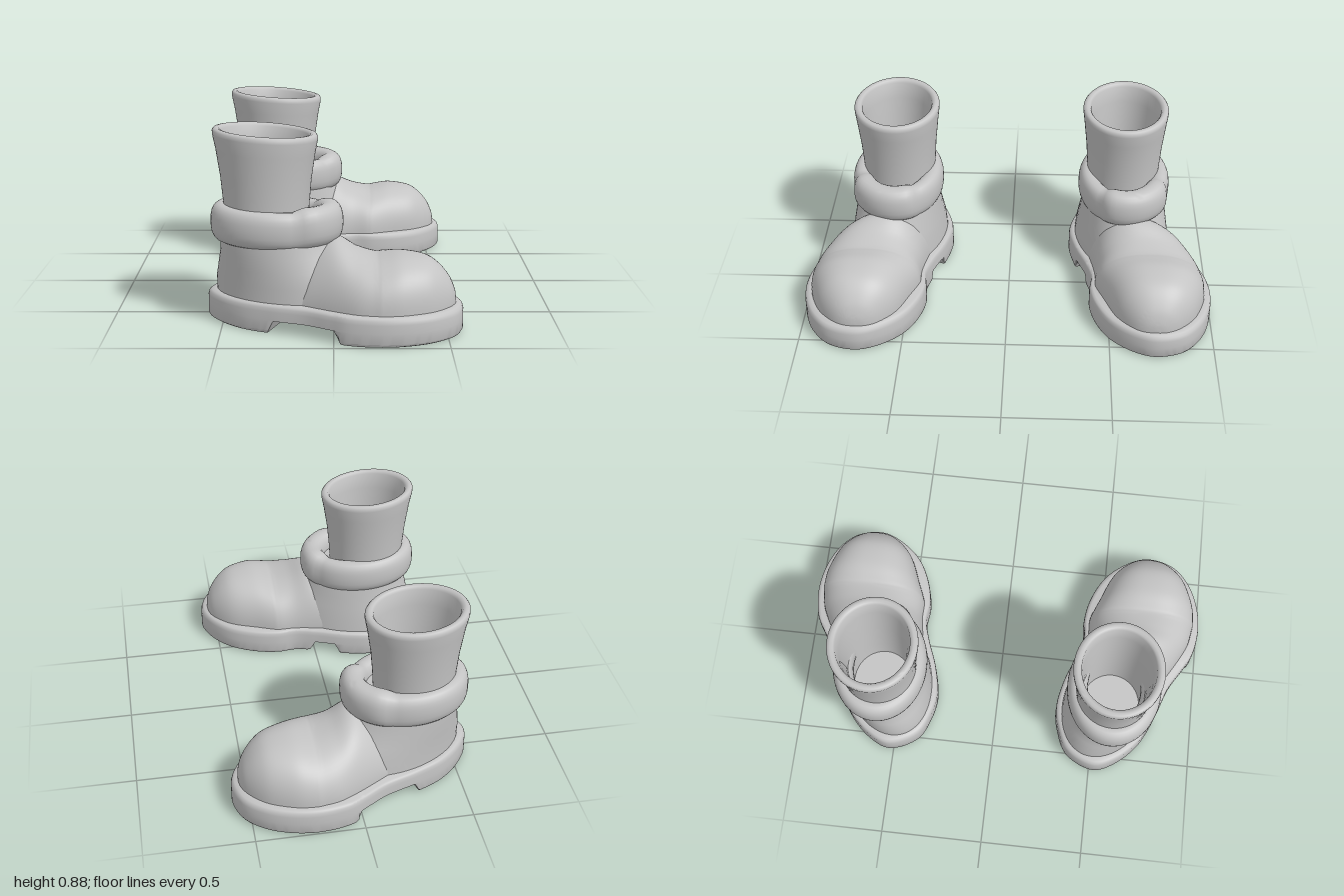
import * as THREE from 'three';
import { toCreasedNormals } from 'three/addons/utils/BufferGeometryUtils.js';

const SEG = 64;
const V = (x, y, z) => new THREE.Vector3(x, y, z);
const grey = new THREE.MeshStandardMaterial({ color: 0xc4c4c4 });
grey.name = 'softGrey';

// Skins closed rings of points; side = -1 mirrors the part across z
function loft(name, rings, side, { start = false, end = false, crease = 0.7 } = {}) {
  const n = rings[0].length, pos = [], idx = [];
  const add = p => pos.push(p.x, p.y, p.z * side) / 3 - 1;
  const tri = (a, b, c) => (side > 0 ? idx.push(a, b, c) : idx.push(a, c, b));
  rings.forEach(r => r.forEach(add));
  for (let j = 0; j < rings.length - 1; j++) {
    for (let i = 0; i < n; i++) {
      const a = j * n + i, b = j * n + (i + 1) % n;
      tri(a, a + n, b);
      tri(b, a + n, b + n);
    }
  }
  const cap = (j, up) => {
    const mid = V(0, 0, 0);
    rings[j].forEach(p => mid.addScaledVector(p, 1 / n));
    const c = add(mid);
    for (let i = 0; i < n; i++) {
      const a = j * n + i, b = j * n + (i + 1) % n;
      up ? tri(c, b, a) : tri(c, a, b);
    }
  };
  if (start) cap(0, false);
  if (end) cap(rings.length - 1, true);
  const g = new THREE.BufferGeometry();
  g.setAttribute('position', new THREE.Float32BufferAttribute(pos, 3));
  g.setIndex(idx);
  const mesh = new THREE.Mesh(toCreasedNormals(g, crease), grey);
  mesh.name = name;
  return mesh;
}

const ring = fn => Array.from({ length: SEG }, (_, i) => fn(i / SEG * Math.PI * 2));

// Footprint, running from the toe round the outer side to the heel and back
const footprint = new THREE.CatmullRomCurve3([
  [0.575, 0.72], [0.54, 0.85], [0.45, 0.935], [0.33, 0.985], [0.2, 1.0], [0.06, 0.975],
  [-0.02, 0.93], [-0.12, 0.87], [-0.28, 0.81], [-0.42, 0.74], [-0.53, 0.63], [-0.575, 0.52],
  [-0.51, 0.38], [-0.4, 0.325], [-0.29, 0.305], [-0.15, 0.33], [0, 0.385], [0.1, 0.412],
  [0.2, 0.405], [0.32, 0.43], [0.45, 0.5], [0.545, 0.62],
].map(([x, z]) => V(x, 0, z)), true);

// One layer of the sole, drawn in by a small inset
const soleRing = (y, inset) => footprint.getSpacedPoints(160).slice(0, 160).map(q => {
  const k = 1 - inset / 0.45;
  return V(q.x * k, y, 0.65 + (q.z - 0.65) * k);
});

// Trims a layer along the line x = edge(z), keeping the heel (-1) or toe (1) end
function trim(points, edge, keep) {
  const kept = points.map(p => (p.x - edge(p.z)) * keep >= 0);
  const ends = points.filter((_, i) => kept[i] &&
    !(kept.at(i - 1) && kept[(i + 1) % kept.length])).map(p => p.z);
  const lo = Math.min(...ends), hi = Math.max(...ends);
  return points.map((p, i) => {
    if (kept[i]) return p;
    const z = THREE.MathUtils.clamp(p.z, lo, hi);
    return V(edge(z), p.y, z);
  });
}

function sole(side) {
  const g = new THREE.Group();
  g.name = 'sole';
  g.add(loft('soleSlab', [[0.064, 0], [0.105, 0], [0.122, 0.004], [0.131, 0.012], [0.135, 0.028]]
    .map(([y, i]) => soleRing(y, i)), side, { start: true, end: true }));
  // The heel edge runs at a slant, the forefoot edge straight across
  const layers = [[0.005, 0.014], [0.011, 0.004], [0.02, 0], [0.066, 0]];
  const heel = layers.map(([y, i]) =>
    trim(soleRing(y, i), z => -0.125 - (z - 0.33) * 0.36 + (y - 0.005) * 0.55, -1));
  const fore = layers.map(([y, i]) => trim(soleRing(y, i), () => 0.03 - (y - 0.005) * 0.55, 1));
  g.add(loft('heelBlock', heel, side, { start: true }));
  g.add(loft('forefootBlock', fore, side, { start: true }));
  return g;
}

// Arched stations along the foot: x, inner z, outer z, crown z, crown height
const stations = [
  [-0.25, 0.38, 0.76, 0.57, 0.24], [-0.16, 0.385, 0.80, 0.58, 0.27], [-0.1, 0.392, 0.835, 0.59, 0.355],
  [0, 0.415, 0.895, 0.61, 0.405], [0.1, 0.432, 0.945, 0.66, 0.36], [0.18, 0.432, 0.962, 0.69, 0.337],
  [0.22, 0.442, 0.966, 0.7, 0.34], [0.3, 0.475, 0.957, 0.715, 0.35], [0.4, 0.515, 0.92, 0.72, 0.336],
  [0.46, 0.555, 0.88, 0.72, 0.302], [0.51, 0.61, 0.825, 0.72, 0.245], [0.535, 0.66, 0.775, 0.72, 0.19],
  [0.542, 0.705, 0.735, 0.72, 0.15],
];

function foot(side) {
  const at = t => {
    const f = Math.min(t, 0.9999) * (stations.length - 1), i = Math.floor(f), u = f - i;
    const s = k => stations[Math.max(0, Math.min(stations.length - 1, k))];
    return s(i).map((b, c) => {
      const a = s(i - 1)[c], d = s(i + 1)[c], e = s(i + 2)[c];
      return b + 0.5 * u * (d - a + u * (2 * a - 5 * b + 4 * d - e + u * (3 * (b - d) + e - a)));
    });
  };
  const rings = Array.from({ length: 61 }, (_, j) => {
    const [x, zi, zo, zc, h] = at(j / 60);
    const e = 1 - 0.18 * THREE.MathUtils.smoothstep(x, -0.05, 0.22);
    return Array.from({ length: 33 }, (_, i) => {
      const a = i / 32 * Math.PI, c = Math.cos(a);
      const z = zc + Math.sign(c) * Math.abs(c) ** e * (c > 0 ? zo - zc : zc - zi);
      return V(x, 0.12 + Math.max(0, Math.sin(a)) ** e * (h - 0.12), z);
    });
  });
  return loft('foot', rings, side, { start: true, end: true, crease: 0.9 });
}

// Heel and ankle: y, centre x, x radius, z radius, slant
const ankleLayers = [
  [0.12, -0.205, 0.33, 0.23, 0.2], [0.2, -0.21, 0.325, 0.226, 0.18], [0.27, -0.225, 0.298, 0.22, 0.12],
  [0.33, -0.238, 0.275, 0.213, 0.06], [0.4, -0.25, 0.262, 0.207, 0.02], [0.47, -0.26, 0.25, 0.2, 0],
  [0.475, -0.3, 0.17, 0.15, 0],
];
const ankle = side => loft('ankle', ankleLayers.map(([y, cx, rx, rz, k]) =>
  ring(t => V(cx + rx * Math.cos(t), y, 0.573 + rz * Math.sin(t) + k * rx * Math.cos(t)))), side);

// Padded collar; the lapped flap is a fatter stretch round the front
function collar(side) {
  const rings = Array.from({ length: 25 }, (_, j) => {
    const f = (j % 24) / 24 * Math.PI * 2, c = Math.cos(f), s = Math.sin(f);
    const soft = v => Math.sign(v) * Math.abs(v) ** 0.8;
    return ring(t => {
      const deg = (t > Math.PI ? t - Math.PI * 2 : t) * 180 / Math.PI;
      const u = (deg + 30) / 94;
      const fat = u > 0 && u < 1 ? Math.min(1, 6 * Math.min(u, 1 - u) + 0.35) : 0;
      const d = 0.05 * soft(c) + fat * 0.012 * (1 + c);
      const y = 0.454 - 0.01 * Math.cos(t) + (0.084 + 0.006 * fat) * soft(s) + 0.016 * fat;
      return V(-0.267 + (0.237 + d) * Math.cos(t), y, 0.572 + (0.178 + d) * Math.sin(t));
    });
  });
  return loft('collar', rings, side, { crease: 0.9 });
}

// Hollow shaft: outside going up, rolled rim, inside going down to the floor
const shaftLayers = [
  [0.4, -0.302, 0.187, 0.176], [0.53, -0.302, 0.192, 0.18], [0.66, -0.303, 0.204, 0.189],
  [0.78, -0.304, 0.222, 0.202], [0.845, -0.305, 0.235, 0.21], [0.861, -0.305, 0.235, 0.21],
  [0.87, -0.305, 0.228, 0.203], [0.873, -0.305, 0.216, 0.191], [0.87, -0.305, 0.203, 0.179],
  [0.858, -0.305, 0.195, 0.172], [0.78, -0.304, 0.185, 0.164], [0.6, -0.302, 0.164, 0.15],
  [0.4, -0.302, 0.155, 0.145], [0.3, -0.302, 0.15, 0.14],
];
const shaft = side => loft('shaft', shaftLayers.map(([y, cx, rx, rz]) => ring(t => {
  const slope = 0.07 * Math.max(0, (y - 0.45) / 0.42);
  return V(cx + rx * Math.cos(t), y - slope * rx * Math.cos(t), 0.567 + rz * Math.sin(t));
})), side, { end: true, crease: 0.9 });

export function createModel() {
  const model = new THREE.Group();
  model.name = 'bootPair';
  for (const side of [1, -1]) {
    const boot = new THREE.Group();
    boot.name = side > 0 ? 'frontBoot' : 'rearBoot';
    boot.add(sole(side), foot(side), ankle(side), collar(side), shaft(side));
    model.add(boot);
  }
  return model;
}
